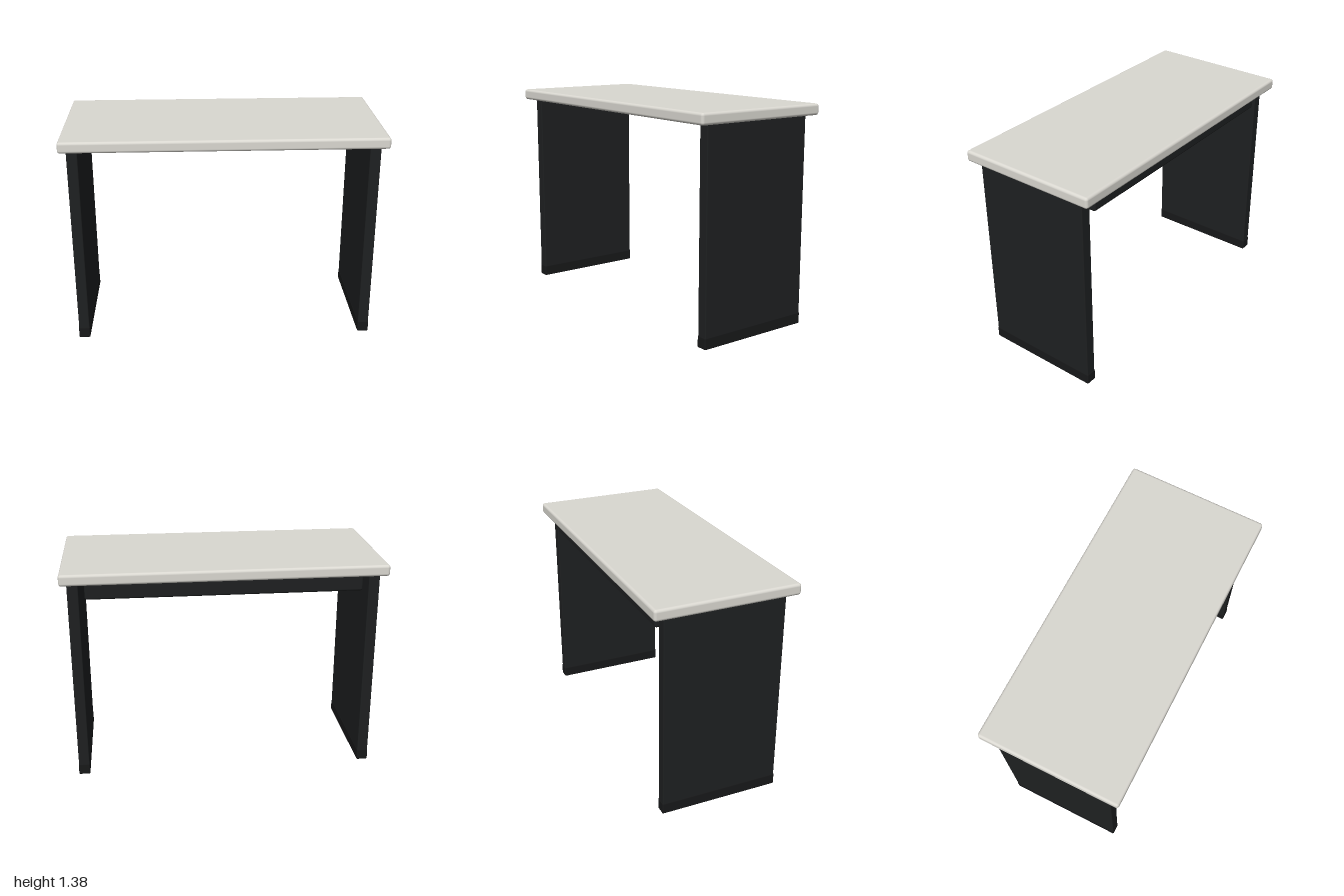
import * as THREE from 'three';
import { RoundedBoxGeometry } from 'three/addons/geometries/RoundedBoxGeometry.js';

const pale = new THREE.MeshStandardMaterial({ color: 0xdad8d1 });
const dark = new THREE.MeshStandardMaterial({ color: 0x1e2021 });
const darker = new THREE.MeshStandardMaterial({ color: 0x18191a });

// Rounded block standing on height y0
function block(name, [w, h, d], [x, y0, z], radius, material) {
  const mesh = new THREE.Mesh(new RoundedBoxGeometry(w, h, d, 4, radius), material);
  mesh.name = name;
  mesh.position.set(x, y0 + h / 2, z);
  return mesh;
}

export function createModel() {
  const desk = new THREE.Group();
  desk.name = 'desk';

  // Table top
  desk.add(block('tableTop', [2, 0.07, 0.91], [0, 1.31, 0], 0.017, pale));

  // Side panels, each on a foot rail
  for (const [side, s] of [['left', 1], ['right', -1]]) {
    const leg = new THREE.Group();
    leg.name = side + 'Leg';
    leg.add(
      block(side + 'Panel', [0.068, 1.25, 0.764], [0, 0.062, 0], 0.006, dark),
      block(side + 'Foot', [0.072, 0.075, 0.77], [0, 0, 0], 0.008, darker)
    );
    leg.position.x = s * 0.925;
    desk.add(leg);
  }

  // Beam under the rear edge
  desk.add(block('rearBeam', [1.71, 0.112, 0.065], [0, 1.2, -0.355], 0.015, dark));

  return desk;
}
